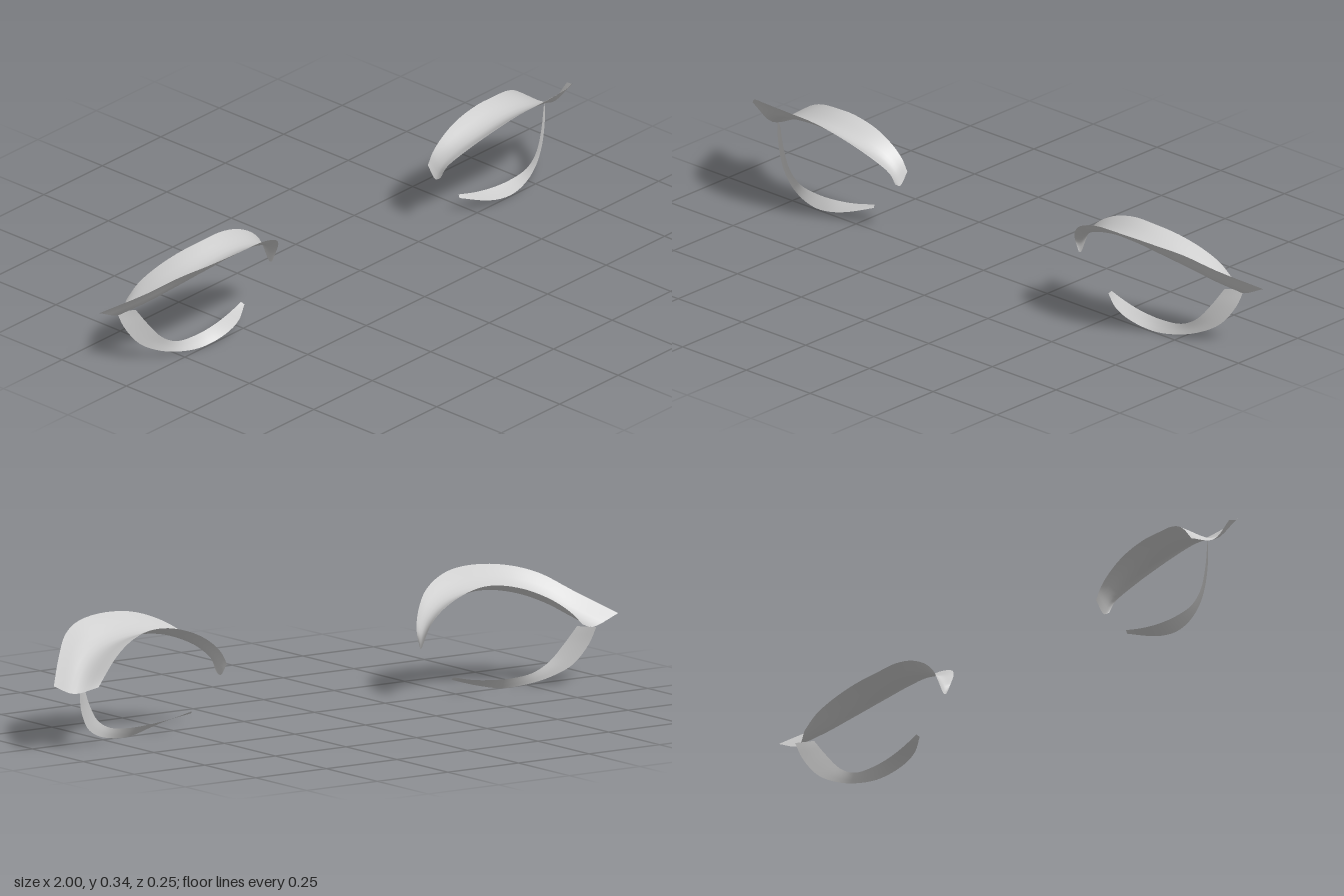
import * as THREE from 'three';

const material = new THREE.MeshStandardMaterial({ color: 0xcccccc, side: THREE.DoubleSide });

// Rails run from the inner to the outer corner of the eye (left side, +x)
const UPPER = [
  // lash tips
  [[.36, .16, -.015], [.365, .2, .005], [.4, .25, .045], [.46, .3, .088], [.55, .336, .117],
    [.65, .345, .126], [.76, .335, .105], [.84, .31, .06], [.91, .262, -.005], [1, .2, -.105]],
  // valley between tips and root
  [[.355, .153, -.03], [.372, .195, -.02], [.41, .235, 0], [.475, .268, .025], [.56, .288, .035],
    [.64, .288, .035], [.735, .27, .025], [.81, .24, -.005], [.865, .205, -.045], [.92, .168, -.098]],
  // root along the eyelid
  [[.352, .19, -.057], [.372, .225, -.056], [.41, .26, -.054], [.47, .292, -.052], [.55, .313, -.047],
    [.62, .313, -.048], [.7, .295, -.07], [.77, .262, -.097], [.82, .225, -.118], [.858, .185, -.128]],
];
const LOWER = [
  // root along the eyelid
  [[.465, .06, -.04], [.53, .045, -.035], [.6, .036, -.03], [.68, .033, -.03], [.75, .042, -.033],
    [.8, .07, -.043], [.84, .12, -.06], [.872, .172, -.08]],
  // lash tips
  [[.46, .053, -.032], [.52, .034, 0], [.58, .017, .007], [.66, .002, -.005], [.73, .007, -.02],
    [.8, .025, -.045], [.86, .06, -.075], [.9, .12, -.1], [.915, .17, -.115]],
];

const curve = (points) => new THREE.CatmullRomCurve3(points);

// Smooth sheet lofted across the rails; side = -1 mirrors it
function sheet(name, rails, side, along, across) {
  const rows = rails.map((r) => curve(r.map(([x, y, z]) => new THREE.Vector3(x * side, y, z))));
  const geometry = new THREE.PlaneGeometry(1, 1, along, across);
  const pos = geometry.attributes.position;
  for (let i = 0; i <= along; i++) {
    const section = rows.map((r) => r.getPoint(i / along));
    const profile = section.length > 2 ? curve(section) : new THREE.LineCurve3(...section);
    for (let j = 0; j <= across; j++) {
      const p = profile.getPoint(j / across);
      pos.setXYZ(j * (along + 1) + i, p.x, p.y, p.z);
    }
  }
  // keep the upper face as the front on both sides
  if (side > 0) {
    const index = geometry.index;
    for (let k = 0; k < index.count; k += 3) {
      const a = index.getX(k);
      index.setX(k, index.getX(k + 1));
      index.setX(k + 1, a);
    }
  }
  geometry.computeVertexNormals();
  const mesh = new THREE.Mesh(geometry, material);
  mesh.name = name;
  return mesh;
}

export function createModel() {
  const model = new THREE.Group();
  model.name = 'eyelashes';
  for (const [label, side] of [['left', 1], ['right', -1]]) {
    const eye = new THREE.Group();
    eye.name = label + 'Eyelashes';
    eye.add(sheet(label + 'UpperLash', UPPER, side, 36, 10));
    eye.add(sheet(label + 'LowerLash', LOWER, side, 32, 3));
    model.add(eye);
  }
  return model;
}
